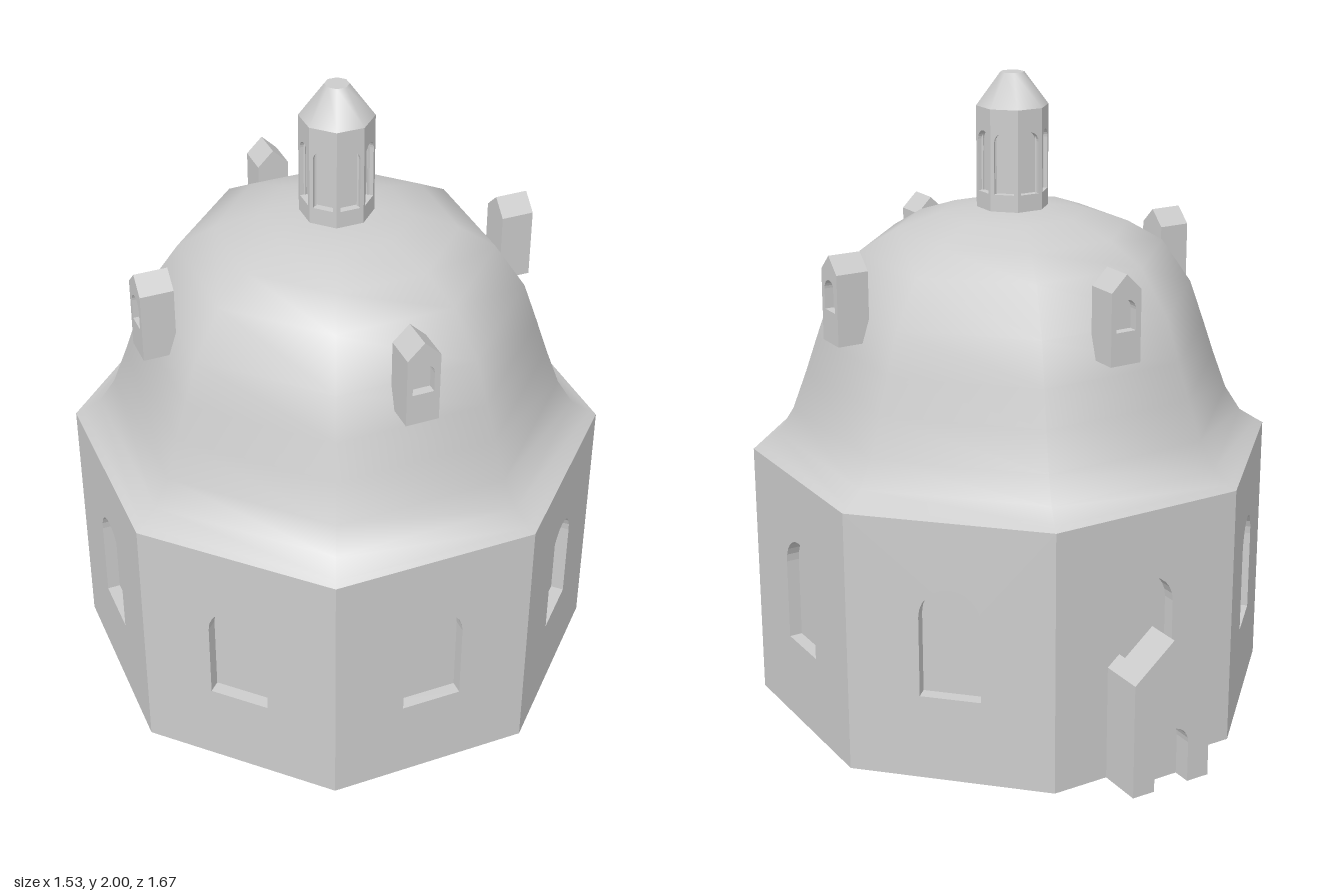
import * as THREE from 'three';

const stone = new THREE.MeshStandardMaterial({ color: 0xcccccc });
stone.name = 'pale stone';

const SIDES = 8;
const CORNER = 1 / Math.cos(Math.PI / SIDES); // apothem to corner radius
const HALF_SIDE = Math.tan(Math.PI / SIDES); // half a side per unit of apothem

function add(parent, name, geometry) {
  const mesh = new THREE.Mesh(geometry, stone);
  mesh.name = name;
  parent.add(mesh);
  return mesh;
}

// Points of a round-headed arch, up one jamb and down the other
function archPoints(half, bottom, top) {
  const points = [new THREE.Vector2(-half, bottom)];
  for (let i = 0; i <= 12; i++) {
    const a = Math.PI * (1 - i / 12);
    points.push(new THREE.Vector2(half * Math.cos(a), top - half + half * Math.sin(a)));
  }
  points.push(new THREE.Vector2(half, bottom));
  return points;
}

function polygon(pairs) {
  return new THREE.Shape(pairs.map(([x, y]) => new THREE.Vector2(x, y)));
}

// Extrusion spanning z = back to z = front
function slab(shape, back, front) {
  return new THREE.ExtrudeGeometry(shape, { depth: front - back, bevelEnabled: false }).translate(0, 0, back);
}

// Octagonal tower with a blind arched window in each face
function octagonTower(name, apothem, y0, y1, recess, arch) {
  const tower = new THREE.Group();
  tower.name = name;
  const r = (apothem - recess) * CORNER;
  const core = new THREE.CylinderGeometry(r, r, y1 - y0, SIDES, 1, false, Math.PI / SIDES).toNonIndexed();
  core.computeVertexNormals();
  add(tower, name + 'Core', core.translate(0, (y0 + y1) / 2, 0));
  const w = apothem * HALF_SIDE;
  const wall = polygon([[-w, y0], [w, y0], [w, y1], [-w, y1]]);
  wall.holes.push(new THREE.Path(archPoints(...arch)));
  const geometry = slab(wall, apothem - recess, apothem);
  for (let i = 0; i < SIDES; i++) {
    add(tower, name + 'Wall', geometry).rotation.y = (i * Math.PI * 2) / SIDES;
  }
  return tower;
}

// Octagonal surface swept from [apothem, height] pairs
function octagonSweep(profile) {
  const points = profile.map(([a, y]) => new THREE.Vector2(a * CORNER, y));
  return new THREE.LatheGeometry(points, SIDES, Math.PI / SIDES);
}

function gable(half, base, eave, ridge) {
  return polygon([[-half, base], [half, base], [half, eave], [0, ridge], [-half, eave]]);
}

// Small gabled dormer with a blind window in its outer end
function dormer() {
  const group = new THREE.Group();
  group.name = 'dormer';
  const front = gable(0.051, 1.24, 1.46, 1.51);
  front.holes.push(new THREE.Path(archPoints(0.033, 1.34, 1.435)));
  add(group, 'dormerFront', slab(front, 0.605, 0.633));
  add(group, 'dormerBody', slab(gable(0.051, 1.24, 1.46, 1.51), 0.53, 0.605));
  return group;
}

// Gabled porch with a doorway, cut away behind where it meets the window
function porch() {
  const group = new THREE.Group();
  group.name = 'porch';
  const h = 0.135, eave = 0.365, ridge = 0.478;
  const door = archPoints(0.06, 0, 0.19);
  const front = new THREE.Shape([
    new THREE.Vector2(-h, 0), ...door, new THREE.Vector2(h, 0),
    new THREE.Vector2(h, eave), new THREE.Vector2(0, ridge), new THREE.Vector2(-h, eave),
  ]);
  add(group, 'porchFront', slab(front, 0.85, 0.908));
  add(group, 'porchBody', slab(gable(h, 0, eave, ridge), 0.795, 0.85));
  const n = 0.095, cut = eave + (ridge - eave) * (1 - n / h);
  const rear = polygon([[-h, 0], [h, 0], [h, eave], [n, cut], [n, 0.27], [-n, 0.27], [-n, cut], [-h, eave]]);
  add(group, 'porchRear', slab(rear, 0.76, 0.795));
  return group;
}

export function createModel() {
  const model = new THREE.Group();
  model.name = 'domedChapel';
  const building = new THREE.Group();
  building.name = 'building';
  building.position.z = 0.07;
  model.add(building);

  // Main walls
  building.add(octagonTower('drum', 0.765, 0, 0.83, 0.04, [0.094, 0.27, 0.62]));

  // Bell-shaped dome
  add(building, 'dome', octagonSweep([
    [0.765, 0.83], [0.745, 0.843], [0.692, 0.88], [0.645, 0.96], [0.604, 1.08], [0.57, 1.19],
    [0.528, 1.32], [0.44, 1.46], [0.337, 1.525], [0.21, 1.572], [0.1, 1.588], [0, 1.588],
  ]));

  // Lantern and its cap
  building.add(octagonTower('lantern', 0.103, 1.58, 1.9, 0.022, [0.031, 1.64, 1.83]));
  add(building, 'lanternCap', octagonSweep([[0.103, 1.9], [0.034, 2]]));
  const top = new THREE.CircleGeometry(0.034 * CORNER, SIDES, Math.PI / SIDES).rotateX(-Math.PI / 2);
  add(building, 'lanternTop', top.translate(0, 2, 0));

  // Four dormers around the dome
  for (let i = 0; i < 4; i++) {
    const d = dormer();
    d.rotation.y = (i * Math.PI) / 2;
    building.add(d);
  }

  // Porch on the back wall
  const entry = porch();
  entry.rotation.y = Math.PI;
  building.add(entry);

  return model;
}
